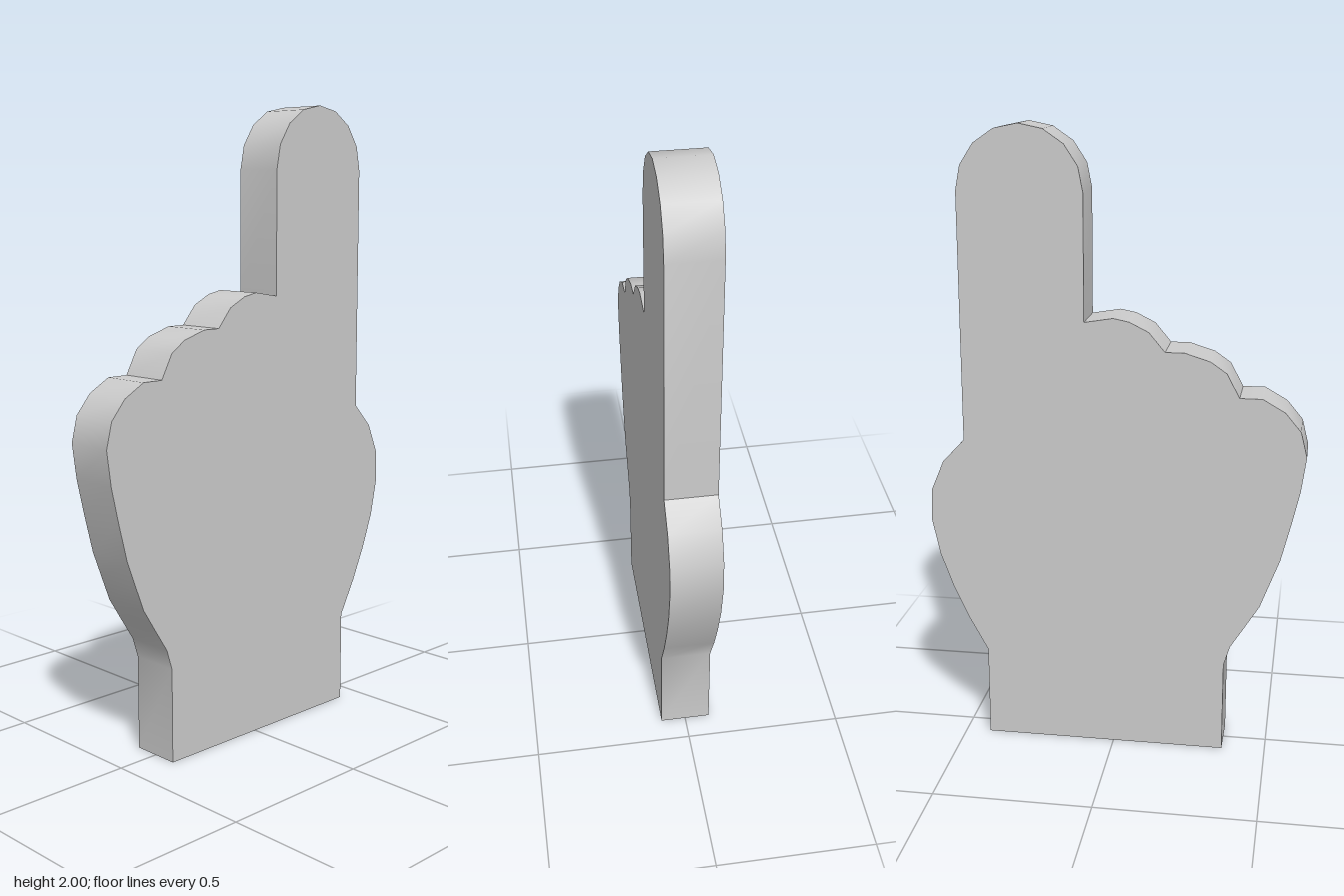
import * as THREE from 'three';
import { toCreasedNormals } from 'three/addons/utils/BufferGeometryUtils.js';

const HALF = 0.08; // half the thickness
const WRIST = { left: 0.42, right: -0.36 };
const MID = (WRIST.left + WRIST.right) / 2;
const SLOT = { rx: 0.355, rz: 0.042, depth: 0.7 };

const v2 = ([x, y]) => new THREE.Vector2(x, y);

function handOutline() {
  // thumb side, from the wrist up to the pointing finger
  const thumb = [
    [WRIST.right, 0], [WRIST.left, 0], [0.42, 0.3], [0.48, 0.41], [0.53, 0.52],
    [0.57, 0.63], [0.595, 0.75], [0.59, 0.85], [0.55, 0.945], [0.48, 1.02],
  ];
  // rounded fingertip
  const tip = [];
  for (let i = 0; i <= 8; i++) {
    const a = (i * Math.PI) / 8;
    tip.push([0.285 + 0.195 * Math.cos(a), 1.8 + 0.2 * Math.sin(a)]);
  }
  // three folded knuckles
  const knuckles = [
    [0.09, 1.41], [0, 1.425], [-0.05, 1.415], [-0.11, 1.385], [-0.16, 1.325],
    [-0.22, 1.325], [-0.3, 1.3], [-0.35, 1.265], [-0.39, 1.19],
    [-0.46, 1.19], [-0.53, 1.15], [-0.58, 1.09], [-0.6, 1.01],
  ];
  // outer edge of the palm, down to the wrist
  const palm = [
    [-0.585, 0.9], [-0.56, 0.79], [-0.53, 0.67], [-0.5, 0.59], [-0.47, 0.51],
    [-0.43, 0.445], [-0.38, 0.365], [-0.36, 0.3],
  ];
  return new THREE.Shape([...thumb, ...tip, ...knuckles, ...palm].map(v2));
}

// Removes the wall lying on y = 0, which the slotted base replaces
function withoutBase(geometry) {
  const source = geometry.toNonIndexed().getAttribute('position');
  const kept = [];
  for (let i = 0; i < source.count; i += 3) {
    const corners = [i, i + 1, i + 2];
    if (corners.every((k) => source.getY(k) < 1e-4)) continue;
    corners.forEach((k) => kept.push(source.getX(k), source.getY(k), source.getZ(k)));
  }
  const result = new THREE.BufferGeometry();
  result.setAttribute('position', new THREE.Float32BufferAttribute(kept, 3));
  return result;
}

export function createModel() {
  const group = new THREE.Group();
  group.name = 'pointingFoamHand';
  const material = new THREE.MeshStandardMaterial({ color: 0xcccccc });
  const add = (name, geometry, mat = material) => {
    const mesh = new THREE.Mesh(geometry, mat);
    mesh.name = name;
    group.add(mesh);
    return mesh;
  };

  // Flat hand with one raised finger
  const slab = new THREE.ExtrudeGeometry(handOutline(), { depth: 2 * HALF, bevelEnabled: false });
  slab.translate(0, 0, -HALF);
  add('hand', toCreasedNormals(withoutBase(slab), 0.6));

  // Underside of the wrist with the opening for the wearer's hand
  const base = new THREE.Shape([
    [WRIST.right, -HALF], [WRIST.left, -HALF], [WRIST.left, HALF], [WRIST.right, HALF],
  ].map(v2));
  const opening = new THREE.Path();
  opening.absellipse(MID, 0, SLOT.rx, SLOT.rz, 0, Math.PI * 2, true);
  base.holes.push(opening);
  add('wristBase', new THREE.ShapeGeometry(base, 16).rotateX(Math.PI / 2));

  // Pocket inside the hand
  const inside = material.clone();
  inside.side = THREE.DoubleSide;
  const wall = new THREE.CylinderGeometry(1, 1, SLOT.depth, 32, 1, true);
  wall.scale(SLOT.rx, 1, SLOT.rz).translate(MID, SLOT.depth / 2, 0);
  add('pocketWall', wall, inside);
  const end = new THREE.CircleGeometry(1, 32).rotateX(Math.PI / 2);
  end.scale(SLOT.rx, 1, SLOT.rz).translate(MID, SLOT.depth, 0);
  add('pocketEnd', end, inside);

  return group;
}
